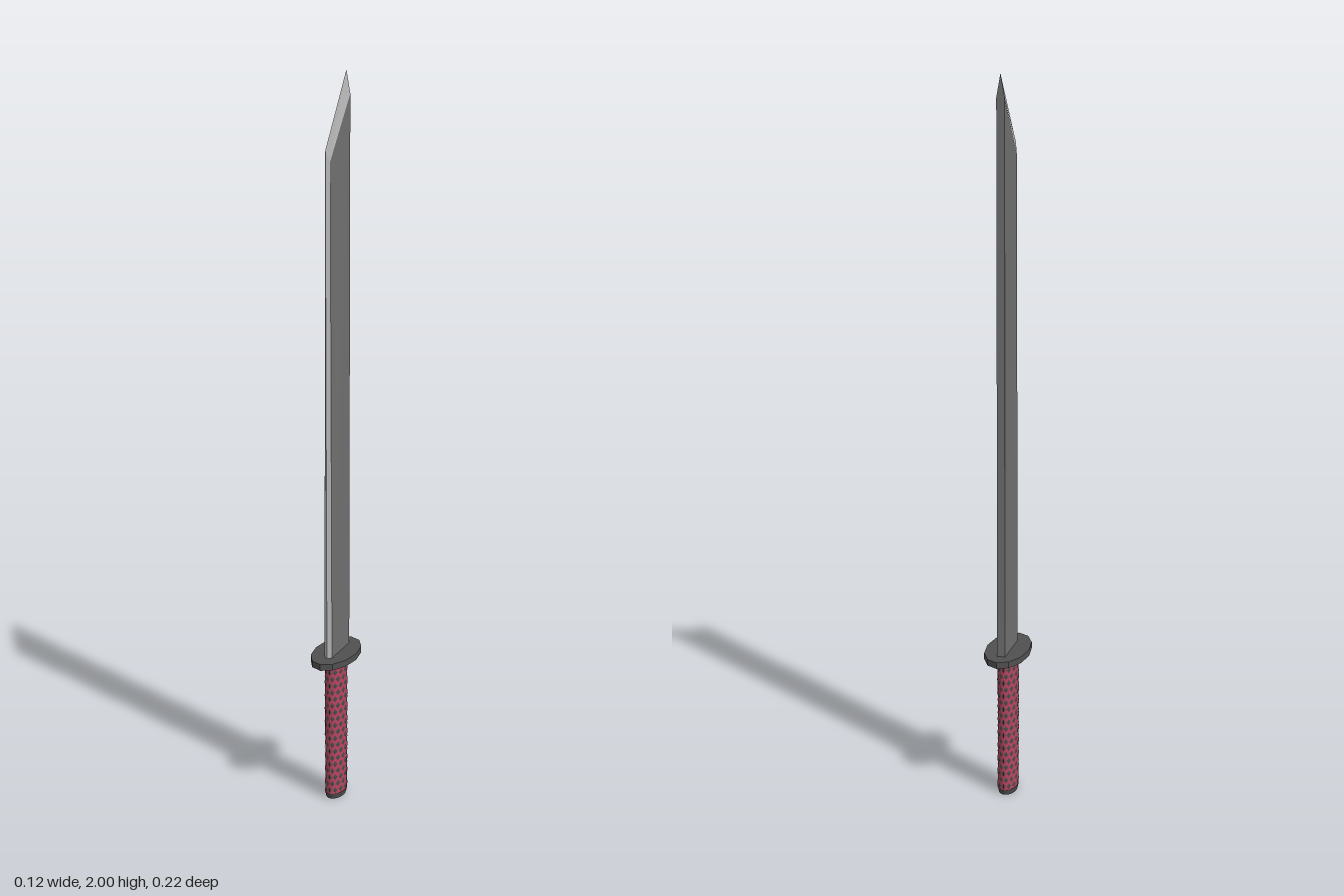
import * as THREE from 'three';

const mat = (color) => new THREE.MeshStandardMaterial({ color, flatShading: true, roughness: 0.7 });

// Flat-shaded mesh from polygons, each a counter-clockwise list of [x, y, z] corners
function polyMesh(name, polys, material) {
  const pos = [];
  for (const p of polys)
    for (let i = 1; i < p.length - 1; i++) pos.push(...p[0], ...p[i], ...p[i + 1]);
  const geo = new THREE.BufferGeometry();
  geo.setAttribute('position', new THREE.Float32BufferAttribute(pos, 3));
  geo.computeVertexNormals();
  const mesh = new THREE.Mesh(geo, material);
  mesh.name = name;
  return mesh;
}

// Oval prism centred on the y axis
function ovalPrism(name, rx, rz, y0, y1, sides, material, bottomScale = 1) {
  const geo = new THREE.CylinderGeometry(1, bottomScale, y1 - y0, sides);
  geo.scale(rx, 1, rz);
  geo.translate(0, (y0 + y1) / 2, 0);
  const mesh = new THREE.Mesh(geo, material);
  mesh.name = name;
  return mesh;
}

function makeBlade() {
  const group = new THREE.Group();
  group.name = 'blade';
  const y0 = 0.425, back = -0.067, ridge = 0.055;
  const tip = [0, 2, back], edgeLow = [0, y0, 0.064], edgeTop = [0, 1.81, 0.07];
  const flats = [], bevels = [];
  for (const s of [1, -1]) {
    const add = (list, p) => list.push(s > 0 ? p : p.reverse());
    const backLow = [0.011 * s, y0, back], backTop = [0.011 * s, 1.94, back];
    const ridgeLow = [0.011 * s, y0, ridge], ridgeTop = [0.007 * s, 1.78, ridge];
    add(flats, [ridgeLow, backLow, backTop, ridgeTop]);
    add(bevels, [edgeLow, ridgeLow, ridgeTop, edgeTop]);
    add(bevels, [ridgeTop, backTop, tip, edgeTop]);
    // half of the spine
    add(flats, [backLow, [0, y0, back], tip, backTop]);
  }
  group.add(polyMesh('bladeBody', flats, mat(0x707070)));
  group.add(polyMesh('cuttingEdge', bevels, mat(0xb4b4b4)));
  return group;
}

// Low raised diamonds staggered around the grip
function makeDiamonds(rx, rz, y0, y1) {
  const columns = 12, rows = 20, polys = [];
  const da = Math.PI / columns * 0.8, step = (y1 - y0) / rows, dy = step * 0.45;
  const point = (a, y, lift) => [Math.sin(a) * (rx + lift), y, Math.cos(a) * (rz + lift)];
  for (let r = 0; r < rows; r++) {
    for (let c = 0; c < columns; c++) {
      const a = (c + (r % 2) / 2) * 2 * Math.PI / columns;
      const y = y0 + (r + 0.5) * step;
      const top = point(a, y + dy, 0.0006), low = point(a, y - dy, 0.0006);
      const left = point(a - da, y, 0.0006), right = point(a + da, y, 0.0006);
      const mid = point(a, y, 0.0015);
      polys.push([low, right, mid], [right, top, mid], [top, left, mid], [left, low, mid]);
    }
  }
  return polyMesh('gripDiamonds', polys, mat(0x4a4a4a));
}

export function createModel() {
  const model = new THREE.Group();
  model.name = 'sword';
  const dark = mat(0x505050);

  model.add(makeBlade());
  model.add(ovalPrism('guard', 0.06, 0.11, 0.412, 0.43, 12, dark));

  // Handle: wrapped grip with a tapered end cap
  const handle = new THREE.Group();
  handle.name = 'handle';
  handle.add(ovalPrism('grip', 0.027, 0.045, 0.015, 0.412, 24, mat(0xb84560)));
  handle.add(makeDiamonds(0.027, 0.045, 0.018, 0.41));
  handle.add(ovalPrism('pommel', 0.028, 0.046, 0, 0.016, 24, dark, 0.88));
  model.add(handle);
  return model;
}
